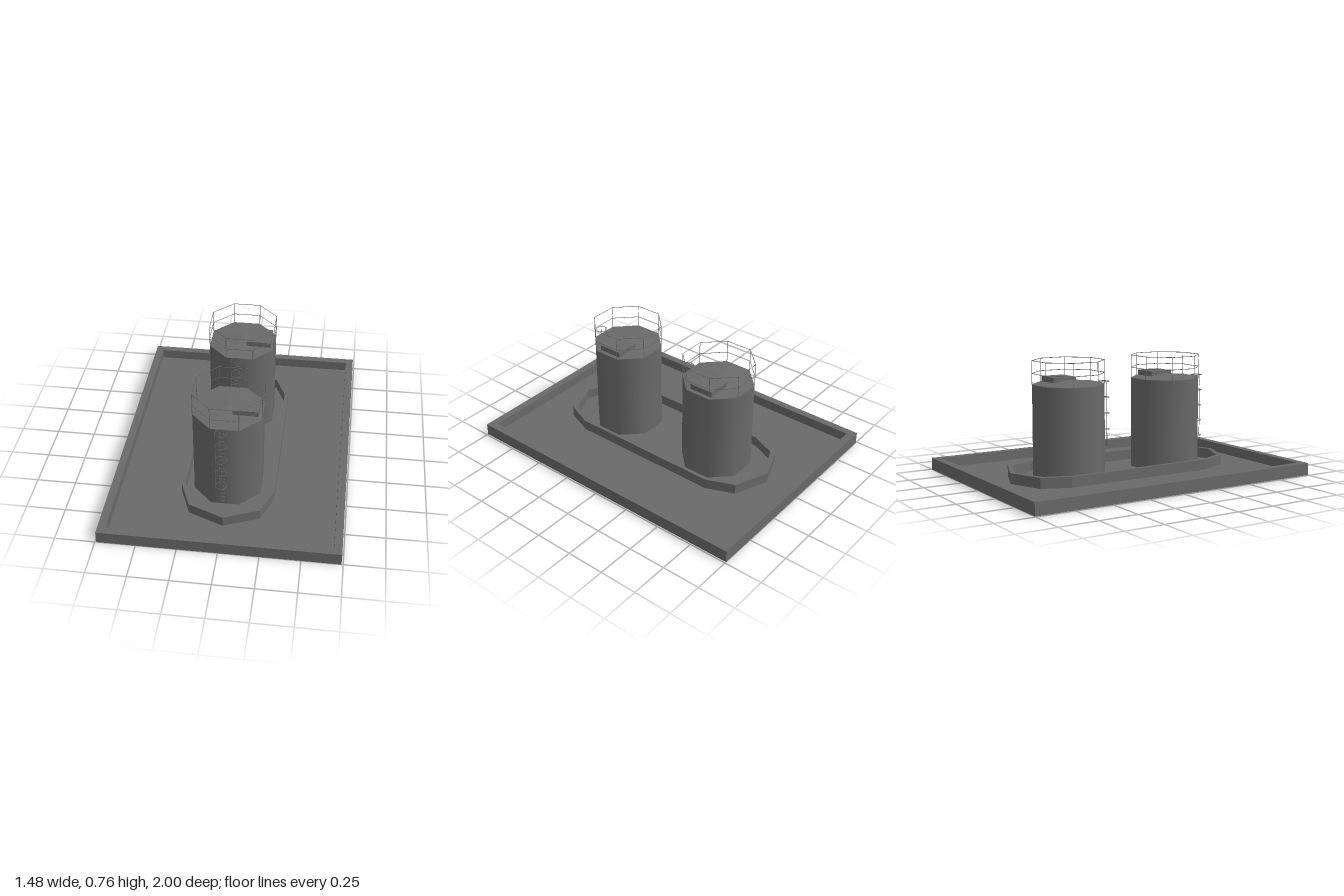
import * as THREE from 'three';

const grey = new THREE.MeshStandardMaterial({ color: 0x6a6a6a });
grey.name = 'concrete grey';

const FLOOR = 0.015;
const RADIUS = 0.2305; // corner radius of the octagonal tanks
const EIGHTH = Math.PI / 8;

function add(parent, name, geometry, x = 0, y = 0, z = 0) {
  const mesh = new THREE.Mesh(geometry, grey);
  mesh.name = name;
  mesh.position.set(x, y, z);
  parent.add(mesh);
  return mesh;
}

// Upright wall between two outlines given as [x, z] points
function wall(outer, inner, height) {
  const vectors = (pts) => pts.map(([x, z]) => new THREE.Vector2(x, z));
  const shape = new THREE.Shape(vectors(outer));
  shape.holes.push(new THREE.Path(vectors(inner)));
  return new THREE.ExtrudeGeometry(shape, { depth: height, bevelEnabled: false }).rotateX(-Math.PI / 2);
}

const rectangle = (x, z) => [[x, z], [-x, z], [-x, -z], [x, -z]];

// Elongated ten-sided outline mirrored from three points
function longRing(tip, [sx, sz], [ex, ez]) {
  return [[0, tip], [-sx, sz], [-ex, ez], [-ex, -ez], [-sx, -sz],
    [0, -tip], [sx, -sz], [ex, -ez], [ex, ez], [sx, sz]];
}

function octagonRing(radius, tube) {
  return new THREE.TorusGeometry(radius, tube, 4, 8).rotateZ(EIGHTH).rotateX(Math.PI / 2);
}

function bar(radius, height) {
  return new THREE.CylinderGeometry(radius, radius, height, 4);
}

function createTank(z) {
  const tank = new THREE.Group();
  tank.name = 'tank';
  tank.position.set(-0.01, 0, z);

  // Shell and shallow roof with a raised centre
  add(tank, 'tankShell', new THREE.CylinderGeometry(RADIUS, RADIUS, 0.61 - FLOOR, 8, 1, true, EIGHTH),
    0, (0.61 + FLOOR) / 2, 0);
  const profile = [[RADIUS, 0.61], [RADIUS, 0.615], [0.09, 0.619], [0.03, 0.635], [0, 0.635]]
    .map(([r, y]) => new THREE.Vector2(r, y));
  add(tank, 'tankRoof', new THREE.LatheGeometry(profile, 8, EIGHTH));
  add(tank, 'roofHatch', new THREE.BoxGeometry(0.16, 0.037, 0.16), 0.11, 0.6325, -0.01);

  // Guard rail around the roof
  const railing = new THREE.Group();
  railing.name = 'guardRail';
  tank.add(railing);
  for (const y of [0.682, 0.763]) add(railing, 'rail', octagonRing(RADIUS, 0.002), 0, y, 0);
  for (let i = 0; i < 8; i++) {
    const a = EIGHTH + i * Math.PI / 4;
    add(railing, 'railPost', bar(0.002, 0.15), Math.cos(a) * RADIUS, 0.689, Math.sin(a) * RADIUS);
  }

  // Ladder rungs on the shell, with a hooped safety cage
  const ladder = new THREE.Group();
  ladder.name = 'ladder';
  ladder.position.set(-0.017, 0, 0);
  tank.add(ladder);
  for (let y = 0.04; y < 0.61; y += 0.03) {
    add(ladder, 'rung', new THREE.BoxGeometry(0.035, 0.003, 0.004), 0, y, 0.214);
  }
  for (let i = 0; i < 5; i++) {
    add(ladder, 'cageHoop', octagonRing(0.037, 0.002), 0, 0.2 + i * 0.104, 0.25);
  }
  for (const x of [-0.035, 0]) add(ladder, 'cageBar', bar(0.002, 0.416), x, 0.408, 0.252);
  return tank;
}

export function createModel() {
  const model = new THREE.Group();
  model.name = 'storageTanks';

  // Base tray with a raised rim
  add(model, 'baseFloor', new THREE.BoxGeometry(1.48, FLOOR, 2), 0, FLOOR / 2, 0);
  add(model, 'baseRim', wall(rectangle(0.74, 1), rectangle(0.69, 0.95), 0.08 - FLOOR), 0, FLOOR, 0);

  // Containment wall around both tanks
  const outer = longRing(0.782, [0.222, 0.692], [0.296, 0.51]);
  const inner = longRing(0.753, [0.201, 0.667], [0.272, 0.502]);
  add(model, 'containmentWall', wall(outer, inner, 0.083 - FLOOR), 0, FLOOR, 0);

  for (const z of [0.371, -0.371]) model.add(createTank(z));
  return model;
}
